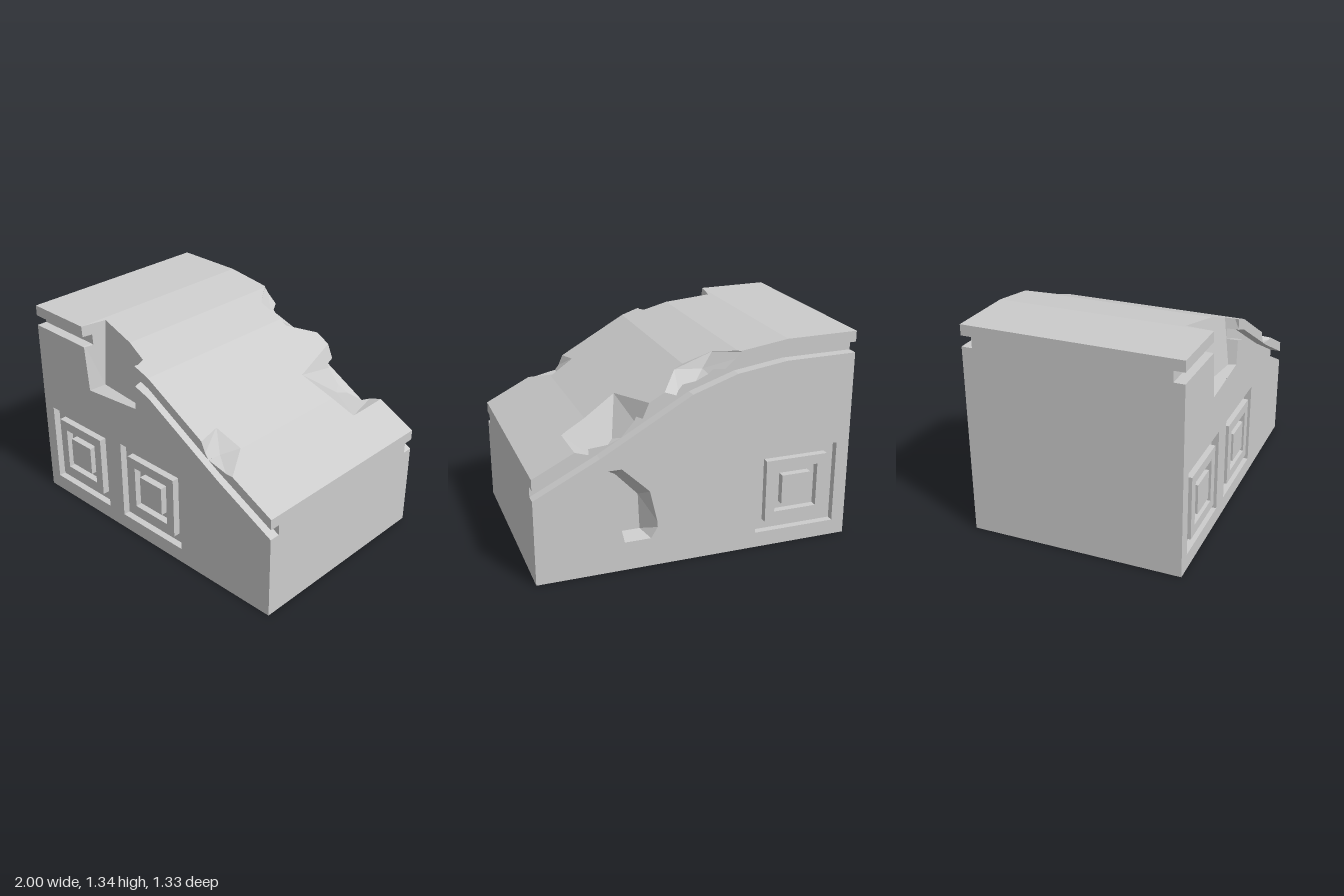
import * as THREE from 'three';
import { ConvexGeometry } from 'three/addons/geometries/ConvexGeometry.js';

const V = (x, y, z) => new THREE.Vector3(x, y, z);
const EPS = 1e-6;
const planeOf = p => new THREE.Plane().setFromCoplanarPoints(p[0], p[1], p[2]);

// split a convex polygon into the parts in front of and behind a plane
function split(poly, plane) {
  const front = [], back = [];
  poly.forEach((a, i) => {
    const b = poly[(i + 1) % poly.length];
    const da = plane.distanceToPoint(a), db = plane.distanceToPoint(b);
    if (da > -EPS) front.push(a);
    if (da < EPS) back.push(a);
    if ((da > EPS && db < -EPS) || (da < -EPS && db > EPS)) {
      const m = a.clone().lerp(b, da / (da - db));
      front.push(m);
      back.push(m);
    }
  });
  const solid = (q, s) => q.length > 2 && q.some(p => s * plane.distanceToPoint(p) > EPS);
  if (!solid(front, 1)) return [null, poly];
  if (!solid(back, -1)) return [poly, null];
  return [front, back];
}

// convex cutter from points, as triangles with their planes
function cutter(points) {
  const pos = new ConvexGeometry(points).getAttribute('position');
  const faces = [];
  for (let i = 0; i < pos.count; i += 3) {
    const t = [0, 1, 2].map(k => new THREE.Vector3().fromBufferAttribute(pos, i + k));
    if (new THREE.Triangle(...t).getArea() > 1e-7) faces.push(t);
  }
  return { faces, planes: faces.map(planeOf) };
}

const outside = (poly, planes) => {
  const kept = [];
  let rest = poly;
  for (const p of planes) {
    const [f, b] = split(rest, p);
    if (f) kept.push(f);
    if (!b) return kept;
    rest = b;
  }
  return kept;
};

const inside = (poly, planes) => {
  for (const p of planes) {
    poly = split(poly, p)[1];
    if (!poly) return null;
  }
  return poly;
};

// break in the slab edge: rim on the top surface, deep points below it
const chip = (rim, deep) => cutter([
  ...rim.map(p => V(...p)), ...rim.map(p => V(p[0], p[1] + 0.2, p[2])), ...deep.map(p => V(...p)),
]);

// top outline, stepped in x
const TOP = [[-1, 1.335], [-0.55, 1.33], [-0.24, 1.285], [0.04, 1.19], [0.6, 0.872], [1, 0.67]];
const HALF = 0.667, CORE = 0.6, BAND = 0.067, RECESS = 0.045;

// square panels: x of the centre and the side they face
const PANELS = [[-0.65, 1], [0.02, 1], [-0.65, -1]];
const PANEL_Y = 0.365;

function makeCutters() {
  const list = [
    // deep front notch
    cutter([
      V(-0.532, 1.45, 0.48), V(-0.083, 1.45, 0.56), V(-0.57, 1.45, 0.75), V(-0.1, 1.45, 0.75),
      V(-0.5, 0.91, 0.55), V(-0.1, 0.94, 0.62), V(-0.515, 0.908, 0.75), V(-0.06, 0.942, 0.75),
    ]),
    // small front chip
    chip([[0.44, 0.965, 0.515], [0.6, 0.875, 0.475], [0.74, 0.8, 0.72], [0.48, 0.94, 0.72]],
      [[0.53, 0.845, 0.58], [0.52, 0.85, 0.72]]),
    // upper back chip
    chip([[-0.31, 1.295, -0.75], [-0.14, 1.25, -0.505], [0.09, 1.16, -0.49], [0.27, 1.06, -0.75]],
      [[-0.07, 1.16, -0.53], [-0.1, 1.12, -0.75], [0.14, 1.01, -0.75]]),
    // lower back chip
    chip([[0.28, 1.06, -0.75], [0.4, 0.985, -0.295], [0.75, 0.795, -0.38], [0.75, 0.8, -0.75]],
      [[0.49, 0.8, -0.54], [0.36, 0.88, -0.75], [0.64, 0.765, -0.75]]),
    // gouge in the back wall
    cutter([
      ...[[0.57, 0.67], [0.47, 0.67], [0.295, 0.5], [0.24, 0.26], [0.29, 0.18], [0.46, 0.18]]
        .map(([x, y]) => V(x, y, -0.69)),
      ...[[0.46, 0.2], [0.33, 0.2], [0.34, 0.43], [0.48, 0.58]].map(([x, y]) => V(x, y, -0.55)),
    ]),
  ];
  // panel recesses
  for (const [cx, s] of PANELS) {
    const pts = [];
    for (const i of [-1, 1]) for (const j of [-1, 1]) for (const z of [HALF - RECESS, 0.75])
      pts.push(V(cx + 0.266 * i, PANEL_Y + 0.266 * j, s * z));
    list.push(cutter(pts));
  }
  return list;
}

// one layer of the block; lo and hi give its heights from the top outline
function layer(lo, hi, half, cutters) {
  const out = [];
  for (let i = 0; i < TOP.length - 1; i++) {
    const [[x0, t0], [x1, t1]] = [TOP[i], TOP[i + 1]];
    const P = (end, high, s) => {
      const t = end ? t1 : t0;
      return V(end ? x1 : x0, high ? hi(t) : lo(t), s * half);
    };
    const faces = [
      [P(0, 0, 1), P(1, 0, 1), P(1, 1, 1), P(0, 1, 1)],
      [P(1, 0, -1), P(0, 0, -1), P(0, 1, -1), P(1, 1, -1)],
      [P(0, 1, 1), P(1, 1, 1), P(1, 1, -1), P(0, 1, -1)],
      [P(0, 0, -1), P(1, 0, -1), P(1, 0, 1), P(0, 0, 1)],
      [P(0, 0, -1), P(0, 0, 1), P(0, 1, 1), P(0, 1, -1)],
      [P(1, 0, 1), P(1, 0, -1), P(1, 1, -1), P(1, 1, 1)],
    ];
    const planes = faces.map(planeOf);
    // joints between neighbouring segments stay open
    let polys = faces.filter((f, k) => k < 4 || (k === 4 ? i === 0 : i === TOP.length - 2));
    for (const c of cutters) polys = polys.flatMap(p => outside(p, c.planes));
    for (const c of cutters) for (const f of c.faces) {
      const q = inside(f, planes);
      if (q) polys.push([...q].reverse());
    }
    out.push(...polys);
  }
  const pos = [];
  for (const p of out) for (let k = 1; k < p.length - 1; k++)
    for (const v of [p[0], p[k], p[k + 1]]) pos.push(v.x, v.y, v.z);
  const g = new THREE.BufferGeometry();
  g.setAttribute('position', new THREE.Float32BufferAttribute(pos, 3));
  g.computeVertexNormals();
  return g;
}

function square(r, Type = THREE.Shape) {
  return new Type([[-r, -r], [r, -r], [r, r], [-r, r]].map(p => new THREE.Vector2(...p)));
}

export function createModel() {
  const group = new THREE.Group();
  const mat = new THREE.MeshStandardMaterial({ color: 0xcccccc, flatShading: true });
  const add = (name, geo, parent = group) => {
    const m = new THREE.Mesh(geo, mat);
    m.name = name;
    parent.add(m);
    return m;
  };

  // wall, recessed band and top slab
  const cutters = makeCutters();
  add('wallBlock', layer(() => 0, t => t - 2 * BAND, HALF, cutters), group);
  add('grooveCore', layer(t => t - 2 * BAND, t => t - BAND, CORE, cutters));
  add('topSlab', layer(t => t - BAND, t => t, HALF, cutters));

  // raised frame and centre block in each recess
  for (const [cx, s] of PANELS) {
    const panel = new THREE.Group();
    panel.name = s > 0 ? 'frontPanel' : 'backPanel';
    panel.position.set(cx, PANEL_Y, s * (HALF - RECESS));
    if (s < 0) panel.rotation.y = Math.PI;
    const frame = square(0.203);
    frame.holes.push(square(0.141, THREE.Path));
    const opts = { depth: RECESS, bevelEnabled: false };
    add('panelFrame', new THREE.ExtrudeGeometry(frame, opts), panel);
    add('panelCentre', new THREE.ExtrudeGeometry(square(0.095), opts), panel);
    group.add(panel);
  }
  return group;
}
